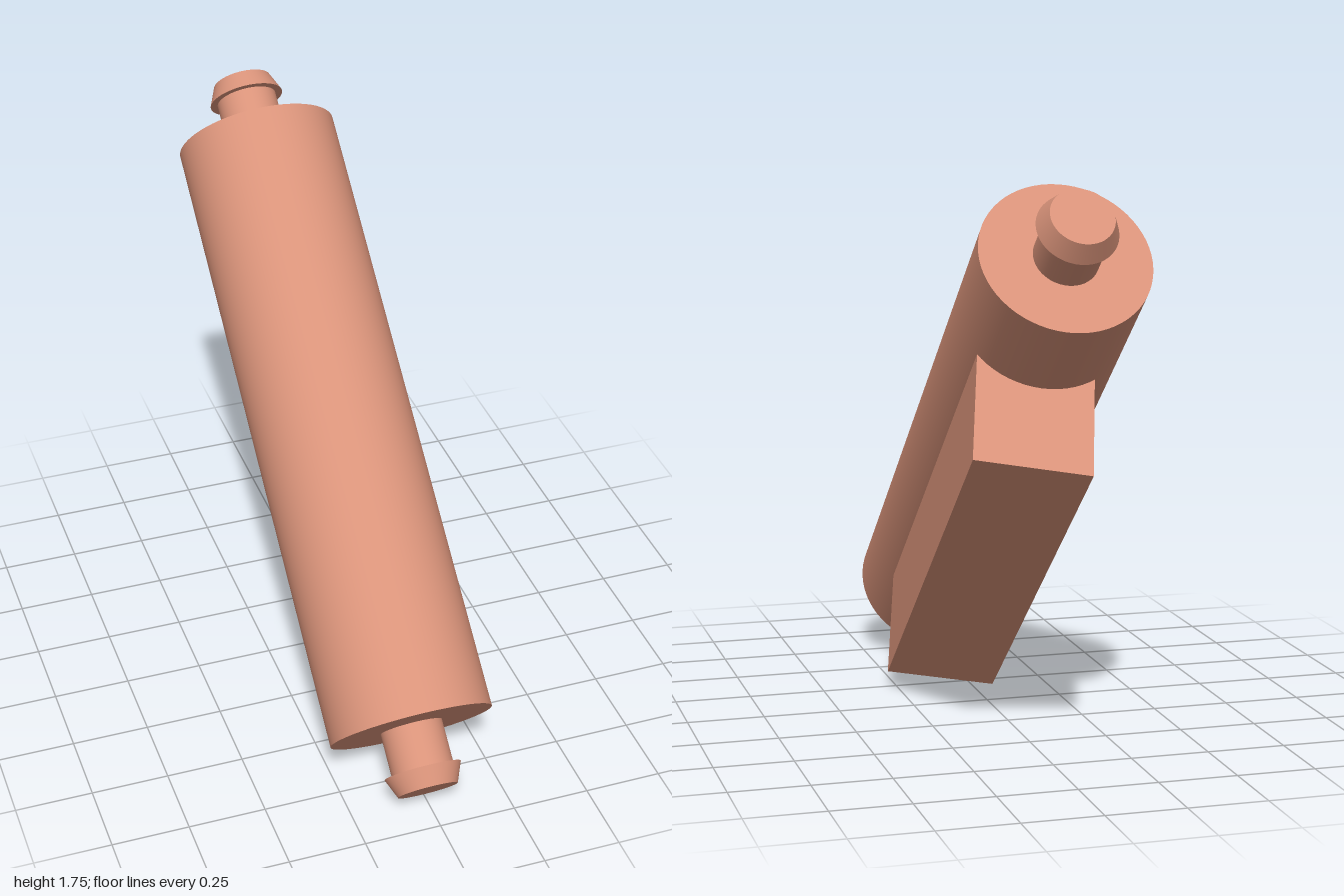
import * as THREE from 'three';

export function createModel() {
  const model = new THREE.Group();
  model.name = 'tiltedCylinder';
  const clay = new THREE.MeshStandardMaterial({ color: 0xd9937a });
  clay.name = 'clay';

  // Tilted frame: local y runs along the cylinder axis, local z points up and forward
  const body = new THREE.Group();
  body.name = 'body';
  body.position.set(-0.022, 0.8975, 0);
  body.rotation.x = THREE.MathUtils.degToRad(-50);
  model.add(body);

  function add(name, geometry, parent = body) {
    const mesh = new THREE.Mesh(geometry, clay);
    mesh.name = name;
    parent.add(mesh);
    return mesh;
  }

  const halfLength = 1.02;
  add('barrel', new THREE.CylinderGeometry(0.2635, 0.2635, halfLength * 2, 64));

  // Block sunk into the underside, turned a little around the axis
  const block = add('sideBlock', new THREE.BoxGeometry(0.361, 1.427, 0.37));
  block.position.set(0.09, 0, -0.3465);
  block.rotation.y = THREE.MathUtils.degToRad(-12);

  // A stem with a tapered head at each end
  const headBase = 1.162, tip = 1.226;
  for (const [name, turn] of [['upperPin', 0], ['lowerPin', Math.PI]]) {
    const pin = new THREE.Group();
    pin.name = name;
    pin.rotation.x = turn;
    body.add(pin);
    const stemStart = halfLength - 0.02;
    add('stem', new THREE.CylinderGeometry(0.1, 0.1, headBase + 0.01 - stemStart, 48), pin)
      .position.y = (stemStart + headBase + 0.01) / 2;
    add('pinHead', new THREE.CylinderGeometry(0.097, 0.124, tip - headBase, 48), pin)
      .position.y = (headBase + tip) / 2;
  }

  return model;
}
